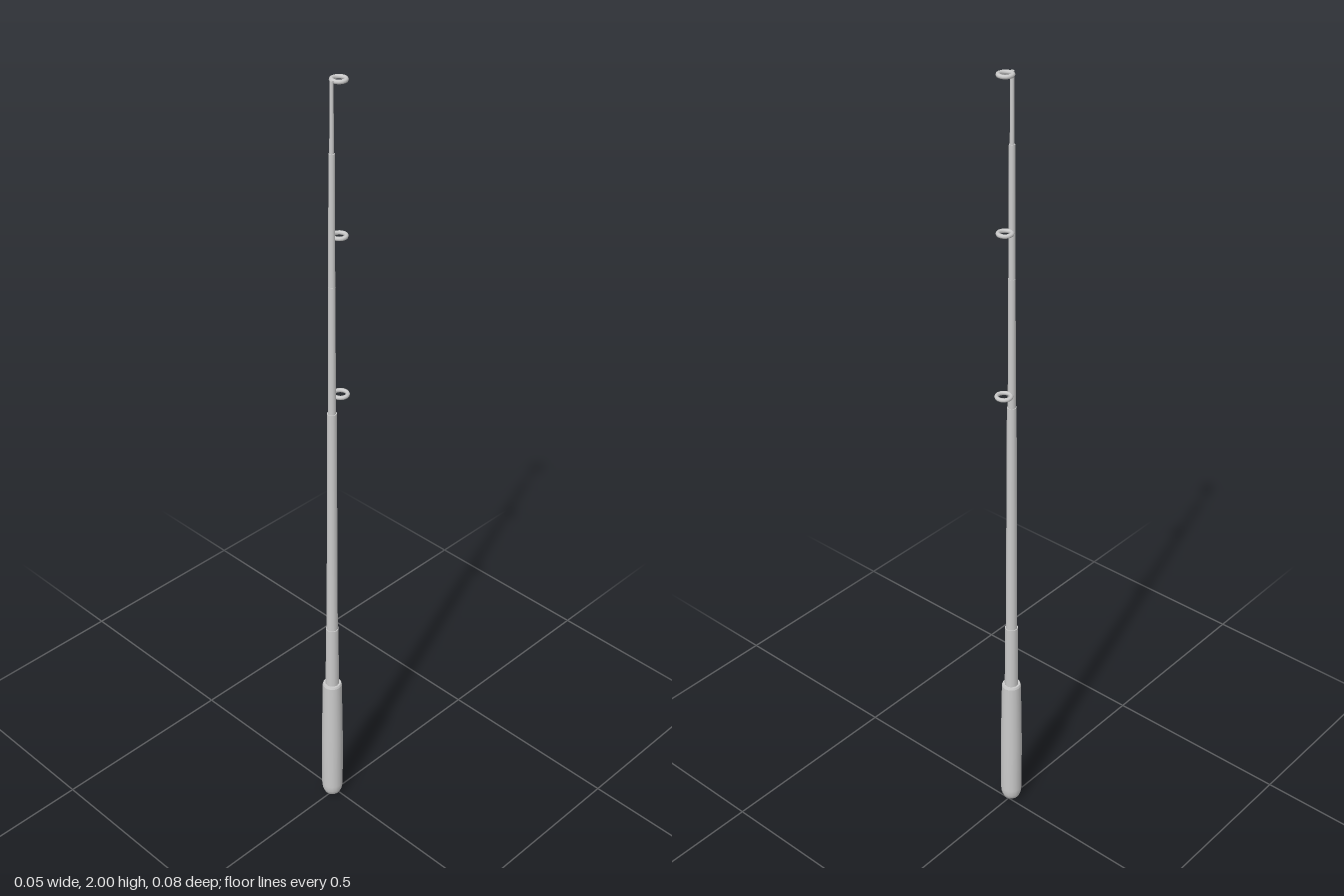
import * as THREE from 'three';

const material = new THREE.MeshStandardMaterial({ color: 0xcccccc, side: THREE.DoubleSide });
const AXIS_Z = 0.011; // the rod stands slightly in front of centre, the guides behind it

function addMesh(parent, name, geometry, y, z) {
  const mesh = new THREE.Mesh(geometry, material);
  mesh.name = name;
  mesh.position.set(0, y, z);
  parent.add(mesh);
  return mesh;
}

export function createModel() {
  const rod = new THREE.Group();
  rod.name = 'telescopicRod';

  // Grip: rounded butt, slight taper
  const grip = [
    [0, 0], [0.012, 0.002], [0.021, 0.010], [0.026, 0.023], [0.0275, 0.04],
    [0.0275, 0.2], [0.0245, 0.385],
  ].map(([r, y]) => new THREE.Vector2(r, y));
  addMesh(rod, 'grip', new THREE.LatheGeometry(grip, 16), 0, AXIS_Z);
  // Sloped shoulder closing the grip
  addMesh(rod, 'gripShoulder', new THREE.CylinderGeometry(0.0225, 0.0245, 0.005, 16), 0.3875, AXIS_Z);

  // Telescoping sections: [bottom y, top y, bottom radius, top radius]
  const sections = [
    [0.38, 0.57, 0.0175, 0.0165],
    [0.56, 1.205, 0.0145, 0.0115],
    [1.195, 1.53, 0.0095, 0.0085],
    [1.52, 1.84, 0.008, 0.007],
    [1.83, 1.998, 0.005, 0.0045],
  ];
  sections.forEach(([y0, y1, r0, r1], i) => {
    addMesh(rod, `section${i + 1}`, new THREE.CylinderGeometry(r1, r0, y1 - y0, 12), (y0 + y1) / 2, AXIS_Z);
  });

  // Line guides: flat rings behind the rod: [y, z, ring radius]
  const guides = [
    [1.245, -0.0165, 0.017],
    [1.645, -0.012, 0.0155],
    [1.995, -0.01, 0.0155],
  ];
  guides.forEach(([y, z, r], i) => {
    const ring = addMesh(rod, `guideRing${i + 1}`, new THREE.TorusGeometry(r, 0.005, 8, 16), y, z);
    ring.rotation.x = Math.PI / 2;
  });

  return rod;
}
